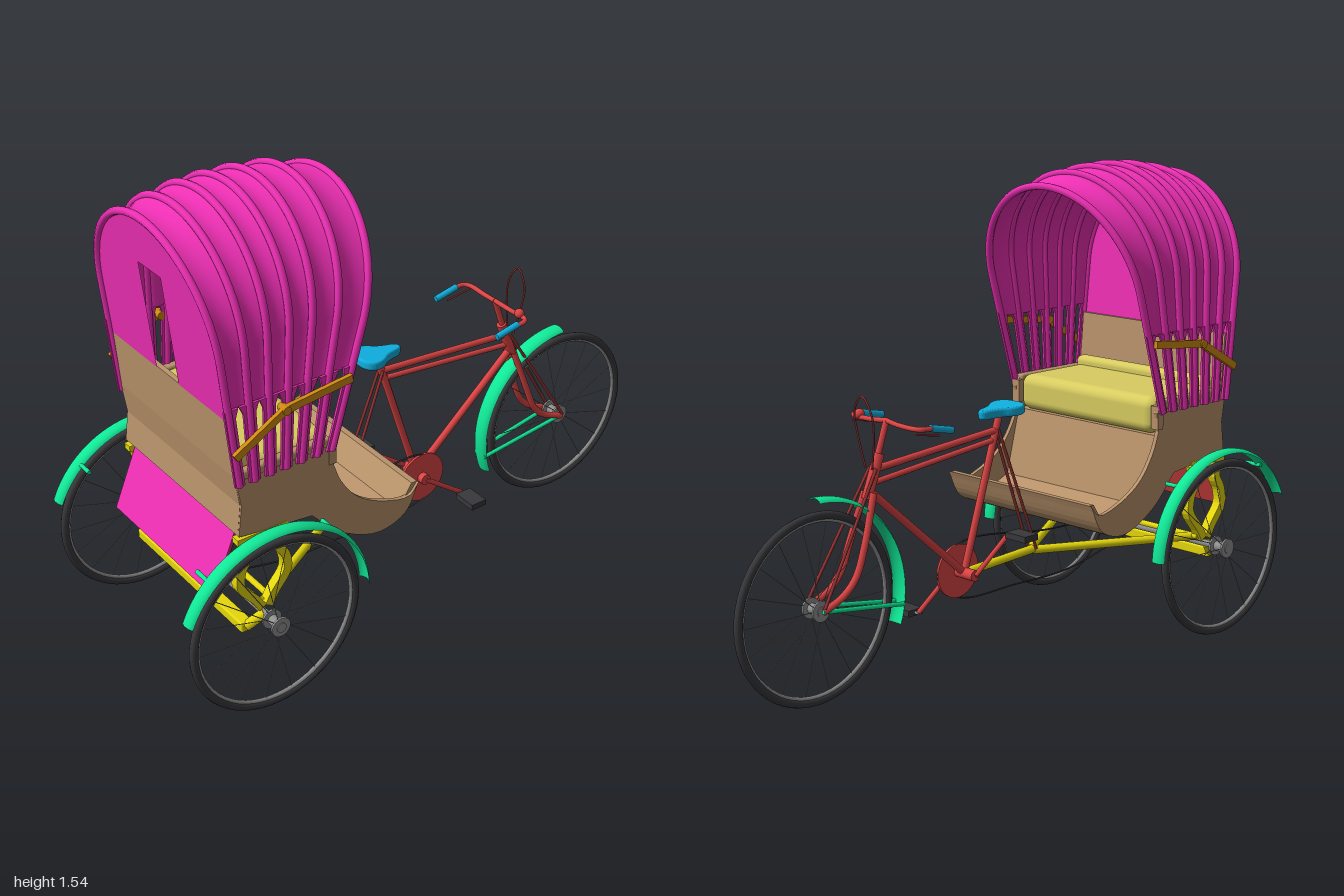
import * as THREE from 'three';
import { RoundedBoxGeometry } from 'three/addons/geometries/RoundedBoxGeometry.js';
import { ParametricGeometry } from 'three/addons/geometries/ParametricGeometry.js';

const mat = (color) => new THREE.MeshStandardMaterial({ color, side: THREE.DoubleSide });
const M = {
  pink: mat(0xee2fb4), tan: mat(0xb8926a), green: mat(0x10e896), red: mat(0xdd4444), darkRed: mat(0x9c3434),
  yellow: mat(0xe6d80c), cushion: mat(0xd8cc60), blue: mat(0x10b0e0), dark: mat(0x38383c), grey: mat(0x909090),
  orange: mat(0xd08a10),
};
const V = (x, y, z = 0) => new THREE.Vector3(x, y, z);
const lerp = THREE.MathUtils.lerp;

export function createModel() {
  const model = new THREE.Group();
  const add = (name, geo, material, parent = model) => {
    const m = new THREE.Mesh(geo, material);
    m.name = name;
    parent.add(m);
    return m;
  };
  // straight round bar between two points
  const rod = (name, a, b, r, material, parent, sides = 10) => {
    const d = b.clone().sub(a);
    const m = add(name, new THREE.CylinderGeometry(r, r, d.length(), sides), material, parent);
    m.position.copy(a).addScaledVector(d, 0.5);
    m.quaternion.setFromUnitVectors(V(0, 1, 0), d.normalize());
    return m;
  };
  const tube = (name, pts, r, material, closed = false, seg = 40) =>
    add(name, new THREE.TubeGeometry(new THREE.CatmullRomCurve3(pts, closed, 'centripetal'), seg, r, 8, closed), material);
  // side outline extruded along z, centred on z
  const slab = (name, pts, depth, z, material) => {
    const geo = new THREE.ExtrudeGeometry(new THREE.Shape(pts.map((p) => new THREE.Vector2(p.x, p.y))), { depth, bevelEnabled: false });
    return add(name, geo.translate(0, 0, z - depth / 2), material);
  };
  // flat strip following a side-view path
  const band = (name, pts, thick, depth, z, material) => {
    const offset = (k) => pts.map((p, i) => {
      const d = pts[Math.min(i + 1, pts.length - 1)].clone().sub(pts[Math.max(i - 1, 0)]).normalize();
      return V(p.x - d.y * k, p.y + d.x * k);
    });
    return slab(name, [...offset(thick / 2), ...offset(-thick / 2).reverse()], depth, z, material);
  };
  const smooth = (pts, n = 20) => new THREE.CatmullRomCurve3(pts).getPoints(n);

  // wheels
  const wheel = (name, x, y, z) => {
    const g = new THREE.Group();
    g.name = name;
    g.position.set(x, y, z);
    model.add(g);
    add('tyre', new THREE.TorusGeometry(0.28, 0.013, 10, 56), M.dark, g);
    add('rim', new THREE.TorusGeometry(0.267, 0.007, 6, 56), M.grey, g);
    rod('hub', V(0, 0, -0.03), V(0, 0, 0.03), 0.016, M.grey, g, 16);
    for (const s of [-1, 1]) rod('hubFlange', V(0, 0, s * 0.02), V(0, 0, s * 0.027), 0.032, M.grey, g, 20);
    for (let i = 0; i < 18; i++) {
      const a = (i / 18) * Math.PI * 2, b = a + (i % 4 < 2 ? 0.12 : -0.12), s = i % 2 ? 1 : -1;
      rod('spoke', V(Math.cos(b) * 0.028, Math.sin(b) * 0.028, s * 0.022), V(Math.cos(a) * 0.265, Math.sin(a) * 0.265), 0.0014, M.grey, g, 4);
    }
  };
  // curved mudguard swept between two angles in degrees
  const fender = (name, x, y, z, r, w, from, to) => {
    const prof = [];
    for (let i = 0; i <= 8; i++) {
      const a = lerp(-1.35, 1.35, i / 8);
      prof.push(new THREE.Vector2(r - 0.016 + 0.016 * Math.cos(a), w * Math.sin(a)));
    }
    const rad = Math.PI / 180;
    const geo = new THREE.LatheGeometry(prof, 40, (from + 90) * rad, (to - from) * rad);
    add(name, geo.rotateX(Math.PI / 2), M.green).position.set(x, y, z);
  };
  wheel('frontWheel', 0.7, 0.315, 0);
  fender('frontFender', 0.7, 0.315, 0, 0.335, 0.03, 90, 200);
  for (const s of [-1, 1]) {
    wheel('rearWheel', -0.695, 0.3, s * 0.38);
    fender('rearFender', -0.695, 0.3, s * 0.38, 0.328, 0.026, 2, 157);
    rod('frontFenderStay', V(0.7, 0.315, s * 0.033), V(0.375, 0.265, s * 0.022), 0.007, M.green);
    for (const a of [0.85, 2.3]) {
      const p = V(-0.695 + 0.318 * Math.cos(a), 0.3 + 0.318 * Math.sin(a), s * 0.37);
      rod('rearFenderBracket', p, V(p.x, p.y, s * 0.31), 0.007, M.green);
    }
  }
  rod('rearAxle', V(-0.695, 0.3, -0.405), V(-0.695, 0.3, 0.405), 0.012, M.grey);
  rod('rearSprocket', V(-0.695, 0.3, 0.025), V(-0.695, 0.3, 0.04), 0.032, M.grey, model, 20);

  // rear carriage frame and leaf springs
  rod('frameSpine', V(-0.2, 0.315), V(0.1, 0.3), 0.014, M.yellow);
  add('lowerCrossBar', new RoundedBoxGeometry(0.04, 0.034, 0.6, 2, 0.006), M.yellow).position.set(-0.745, 0.258, 0);
  rod('upperCrossBar', V(-0.66, 0.328, -0.31), V(-0.66, 0.328, 0.31), 0.01, M.yellow);
  for (const s of [-1, 1]) {
    rod('frameArm', V(-0.69, 0.325, s * 0.3), V(-0.2, 0.315, s * 0.01), 0.014, M.yellow);
    rod('crossBarEnd', V(-0.745, 0.258, s * 0.295), V(-0.695, 0.3, s * 0.32), 0.016, M.yellow);
    for (const k of [-1, 1]) {
      const path = [V(0.01, 0.32), V(0.035, 0.36), V(0.08, 0.42), V(0.075, 0.475), V(0.05, 0.52), V(0.065, 0.575)];
      band('leafSpring', smooth(path.map((p) => V(-0.69 + k * p.x, p.y))), 0.028, 0.03, s * 0.305, M.yellow);
    }
    add('springTop', new THREE.BoxGeometry(0.17, 0.02, 0.03), M.yellow).position.set(-0.69, 0.58, s * 0.305);
  }

  // passenger body: curved sides, hull with footwell, back and seat
  const sideRim = smooth([V(-0.44, 0.715), V(-0.415, 0.65), V(-0.355, 0.57), V(-0.26, 0.515), V(-0.165, 0.495), V(-0.13, 0.53)]);
  const keel = smooth([V(-0.13, 0.53), V(-0.18, 0.44), V(-0.28, 0.41), V(-0.42, 0.47), V(-0.52, 0.57)]);
  const side = [V(-0.77, 0.6), V(-0.757, 0.7), V(-0.772, 0.8), V(-0.45, 0.805), V(-0.43, 0.775), ...sideRim, ...keel.slice(1)];
  for (const s of [-1, 1]) {
    slab('bodySide', side, 0.014, s * 0.312, M.tan);
    add('armrest', new RoundedBoxGeometry(0.3, 0.03, 0.03, 2, 0.008), M.tan).position.set(-0.6, 0.8, s * 0.308);
    add('armrestPost', new THREE.BoxGeometry(0.025, 0.075, 0.03), M.tan).position.set(-0.445, 0.76, s * 0.308);
  }
  slab('hull', [...keel, V(-0.768, 0.6), V(-0.757, 0.7), V(-0.445, 0.7), V(-0.39, 0.48), V(-0.28, 0.435), V(-0.2, 0.455), V(-0.15, 0.53)], 0.62, 0, M.tan);
  band('backPanel', [V(-0.762, 0.6), V(-0.75, 0.7), V(-0.764, 0.8), V(-0.778, 0.99)], 0.016, 0.625, 0, M.tan);
  add('seatCushion', new RoundedBoxGeometry(0.31, 0.12, 0.59, 4, 0.035), M.cushion).position.set(-0.59, 0.76, 0);
  const back = add('backCushion', new RoundedBoxGeometry(0.05, 0.12, 0.58, 4, 0.02), M.cushion);
  back.position.set(-0.73, 0.79, 0);
  band('rearApron', [V(-0.755, 0.6), V(-0.84, 0.4)], 0.006, 0.56, 0, M.pink);
  band('apronLining', [V(-0.748, 0.598), V(-0.834, 0.4)], 0.004, 0.56, 0, M.red);

  // folding hood: fan of arched bows
  const foot = [-0.765, -0.713, -0.66, -0.607, -0.555, -0.502, -0.45];
  const crown = [-0.837, -0.74, -0.65, -0.565, -0.473, -0.366, -0.24];
  const height = [1.495, 1.515, 1.528, 1.532, 1.528, 1.515, 1.48];
  const at = (arr, f) => {
    const i = Math.min(Math.floor(f), 5);
    return lerp(arr[i], arr[i + 1], f - i);
  };
  const bowX = (f, y) => lerp(at(foot, f), at(crown, f), (y - 0.78) / (at(height, f) - 0.78));
  // v runs 0..1 up one leg, over the arch and down the other
  const bow = (f, v, yb, sag = 0) => {
    const R = 0.325 - sag, top = at(height, f), spring = top - 0.325, leg = spring - yb;
    const total = 2 * leg + Math.PI * R, d = v * total;
    let y, z;
    if (d < leg) { y = yb + d; z = R; }
    else if (d > total - leg) { y = yb + total - d; z = -R; }
    else { const a = (d - leg) / R; y = spring + R * Math.sin(a); z = R * Math.cos(a); }
    return V(bowX(f, y), y, z);
  };
  add('hoodFabric', new ParametricGeometry((u, v, t) => {
    const f = u * 6;
    t.copy(bow(f, v, 1.02, 0.012 * Math.abs(Math.sin(f * Math.PI))));
  }, 36, 60), M.pink);
  for (let i = 0; i < 7; i++) {
    const pts = [];
    for (let k = 0; k <= 48; k++) pts.push(bow(i, k / 48, 0.775));
    tube('hoodBow', pts, 0.012, M.pink, false, 80);
    for (const s of [-1, 1]) {
      const strip = [[-0.018, 0.775], [0.018, 0.775], [0.02, 1.0], [0.032, 1.03], [-0.032, 1.03], [-0.02, 1.0]];
      const k = (dx) => (i === 0 ? Math.max(dx, -0.014) : i === 6 ? Math.min(dx, 0.014) : dx);
      slab('hoodStrip', strip.map(([dx, y]) => V(bowX(i, y) + k(dx), y)), 0.008, s * 0.325, M.pink);
    }
  }
  // hood rear curtain with a tall slit, leaned to match the last bow
  const curtain = new THREE.Shape();
  curtain.moveTo(-0.325, 0.98).lineTo(-0.06, 0.98).lineTo(-0.06, 1.335).lineTo(0.06, 1.335).lineTo(0.06, 0.98).lineTo(0.325, 0.98).lineTo(0.325, 1.17);
  curtain.absarc(0, 1.17, 0.325, 0, Math.PI, false);
  const curtainGeo = new THREE.ShapeGeometry(curtain, 24);
  const cp = curtainGeo.attributes.position;
  for (let i = 0; i < cp.count; i++) cp.setXYZ(i, bowX(0, cp.getY(i)), cp.getY(i), cp.getX(i));
  curtainGeo.computeVertexNormals();
  add('hoodCurtain', curtainGeo, M.pink);
  for (const s of [-1, 1]) {
    band('hoodLever', [V(-0.785, 0.885), V(-0.615, 0.98), V(-0.39, 1.003)], 0.024, 0.014, s * 0.343, M.orange);
    rod('leverPivot', V(-0.615, 0.98, s * 0.32), V(-0.615, 0.98, s * 0.355), 0.014, M.orange);
  }

  // bicycle frame
  const crank = V(0.105, 0.3), seatTop = V(-0.045, 0.775);
  rod('seatTube', crank, seatTop, 0.012, M.red);
  rod('topTube', V(-0.035, 0.735), V(0.465, 0.695), 0.011, M.red);
  rod('middleTube', V(-0.025, 0.705), V(0.475, 0.655), 0.009, M.red);
  rod('downTube', crank, V(0.485, 0.63), 0.012, M.red);
  rod('headTube', V(0.45, 0.74), V(0.5, 0.61), 0.017, M.red);
  rod('stem', V(0.42, 0.835), V(0.46, 0.72), 0.01, M.red);
  for (const s of [-1, 1]) {
    rod('seatStay', V(-0.035, 0.74, s * 0.01), V(-0.198, 0.32, s * 0.02), 0.005, M.darkRed);
    tube('forkBlade', [V(0.49, 0.63, s * 0.02), V(0.54, 0.48, s * 0.034), V(0.575, 0.395, s * 0.036), V(0.62, 0.35, s * 0.036), V(0.7, 0.315, s * 0.036)], 0.011, M.red);
    rod('forkBrace', V(0.475, 0.7, s * 0.015), V(0.7, 0.325, s * 0.042), 0.005, M.darkRed);
    tube('handlebar', [V(0.42, 0.835), V(0.425, 0.83, s * 0.06), V(0.425, 0.83, s * 0.14), V(0.41, 0.83, s * 0.155), V(0.37, 0.827, s * 0.155)], 0.008, M.red);
    rod('grip', V(0.385, 0.83, s * 0.155), V(0.3, 0.812, s * 0.155), 0.011, M.blue);
    rod('brakeLever', V(0.43, 0.815, s * 0.14), V(0.34, 0.8, s * 0.145), 0.003, M.darkRed);
  }
  add('bell', new THREE.SphereGeometry(0.016, 16, 12), M.red).position.set(0.425, 0.838, 0.115);
  tube('cableLoop', [V(0.49, 0.7, 0.015), V(0.5, 0.8, 0.036), V(0.51, 0.87, 0.038), V(0.515, 0.922), V(0.51, 0.87, -0.038), V(0.5, 0.8, -0.036), V(0.49, 0.7, -0.015)], 0.003, M.darkRed);

  // pear-shaped saddle
  const saddle = new THREE.Shape();
  saddle.moveTo(0.03, 0).bezierCurveTo(0.03, 0.02, -0.02, 0.012, -0.05, 0.04);
  saddle.bezierCurveTo(-0.09, 0.07, -0.125, 0.05, -0.12, 0).bezierCurveTo(-0.125, -0.05, -0.09, -0.07, -0.05, -0.04);
  saddle.bezierCurveTo(-0.02, -0.012, 0.03, -0.02, 0.03, 0);
  const saddleGeo = new THREE.ExtrudeGeometry(saddle, { depth: 0.012, bevelSize: 0.006, bevelThickness: 0.009, bevelSegments: 4, curveSegments: 14 });
  add('saddle', saddleGeo.rotateX(-Math.PI / 2).rotateZ(-0.06), M.blue).position.set(0, 0.787, 0);

  // drive: chainwheel, cranks, pedals and chain
  rod('chainwheel', V(0.105, 0.3, 0.026), V(0.105, 0.3, 0.034), 0.086, M.red, model, 40);
  rod('bottomBracket', V(0.105, 0.3, -0.05), V(0.105, 0.3, 0.055), 0.018, M.red, model, 16);
  for (const [x, y, s] of [[0.255, 0.19, 1], [-0.045, 0.41, -1]]) {
    rod('crankArm', V(0.105, 0.3, s * 0.05), V(x, y, s * 0.05), 0.008, M.red);
    rod('pedalAxle', V(x, y, s * 0.045), V(x, y, s * 0.14), 0.005, M.grey);
    add('pedal', new THREE.BoxGeometry(0.058, 0.02, 0.085), M.dark).position.set(x, y, s * 0.104);
  }
  tube('chain', [V(0.105, 0.386, 0.03), V(0.19, 0.3, 0.03), V(0.105, 0.214, 0.03), V(-0.15, 0.2, 0.03), V(-0.4, 0.2, 0.03), V(-0.6, 0.24, 0.03),
    V(-0.695, 0.268, 0.03), V(-0.727, 0.3, 0.03), V(-0.695, 0.332, 0.03), V(-0.3, 0.355, 0.03)], 0.003, M.dark, true, 100);
  return model;
}
